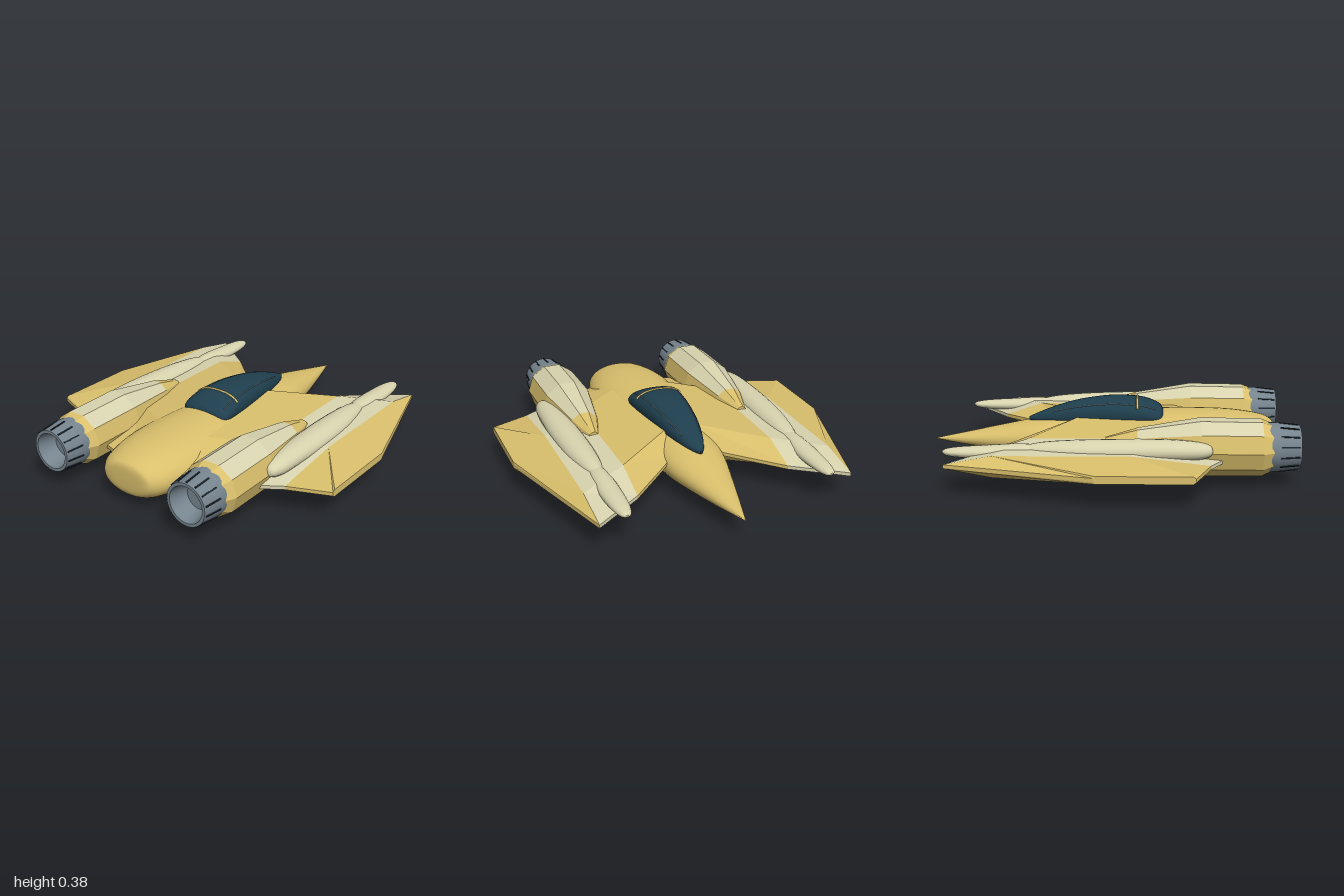
import * as THREE from 'three';
import { toCreasedNormals } from 'three/addons/utils/BufferGeometryUtils.js';

const mat = (name, color) => {
  const m = new THREE.MeshStandardMaterial({ color });
  m.name = name;
  return m;
};

// Skin a list of closed rings; pick(i, j) chooses a material index per quad
function loft(rings, crease, pick = () => 0) {
  const n = rings[0].length, pos = rings.flat(2), faces = [[], []];
  for (let i = 0; i < rings.length - 1; i++) {
    for (let j = 0; j < n; j++) {
      const a = i * n + j, b = i * n + (j + 1) % n;
      faces[pick(i, j)].push(a, b, b + n, a, b + n, a + n);
    }
  }
  const last = (rings.length - 1) * n;
  for (let j = 1; j < n - 1; j++) faces[0].push(0, j + 1, j, last, last + j, last + j + 1);
  const g = new THREE.BufferGeometry();
  g.setAttribute('position', new THREE.Float32BufferAttribute(pos, 3));
  g.setIndex(faces.flat());
  const out = toCreasedNormals(g, crease);
  if (faces[1].length) {
    out.addGroup(0, faces[0].length, 0);
    out.addGroup(faces[0].length, faces[1].length, 1);
  }
  return out;
}

// Point on a rounded section given as [z, halfWidth, top, bottom, centreX]
function onSection([z, w, top, bot, cx = 0], angle, power = 2) {
  const f = (v) => Math.sign(v) * Math.abs(v) ** (2 / power);
  return [cx + w * f(Math.cos(angle)), (top + bot) / 2 + (top - bot) / 2 * f(Math.sin(angle)), z];
}
const ring = (s, n, power) =>
  Array.from({ length: n }, (_, j) => onSection(s, j / n * Math.PI * 2, power));

// Resample stations along smooth curves
function refine(stations, count) {
  const curves = stations[0].map((_, k) =>
    new THREE.SplineCurve(stations.map((s) => new THREE.Vector2(s[k], 0))));
  return Array.from({ length: count + 1 }, (_, i) => curves.map((c) => c.getPoint(i / count).x));
}

const FUSELAGE = [
  [-1, 0.003, 0.125, 0.118], [-0.8, 0.062, 0.165, 0.085], [-0.6, 0.118, 0.205, 0.058],
  [-0.4, 0.168, 0.243, 0.037], [-0.2, 0.187, 0.268, 0.02], [0, 0.208, 0.285, 0.008],
  [0.3, 0.242, 0.298, 0], [0.52, 0.255, 0.298, 0.003], [0.7, 0.24, 0.29, 0.014],
  [0.84, 0.205, 0.27, 0.03], [0.9, 0.17, 0.25, 0.05], [0.925, 0.13, 0.225, 0.08],
  [0.93, 0.02, 0.16, 0.14],
];
const CANOPY = [
  [-0.465, 0.006, 0.252, 0.235], [-0.42, 0.034, 0.272, 0.22], [-0.33, 0.068, 0.307, 0.21],
  [-0.2, 0.1, 0.346, 0.2], [-0.05, 0.123, 0.37, 0.2], [0.06, 0.137, 0.375, 0.2],
  [0.18, 0.149, 0.364, 0.21], [0.255, 0.148, 0.338, 0.22], [0.29, 0.125, 0.315, 0.23],
  [0.303, 0.07, 0.29, 0.24],
];
// [x, leading z, trailing z, top, bottom, front ridge, rear ridge]
const WING = [
  [0.1, -0.32, 0.8, 0.27, 0.065, 0.12, 0.75], [0.43, -0.64, 0.69, 0.235, 0.072, 0.16, 0.72],
  [0.7, -0.84, 0.52, 0.212, 0.098, 0.18, 0.7], [0.925, -0.07, 0.43, 0.175, 0.135, 0.02, 0.97],
];
const NACELLE = [
  [-0.02, 0.03, 0.25, 0.19], [0.15, 0.09, 0.3, 0.11], [0.48, 0.155, 0.355, 0.045],
  [0.8, 0.155, 0.35, 0.045], [0.865, 0.128, 0.325, 0.075],
];
const POD_FRONT = [
  [-0.865, 0.008, 0.203, 0.193], [-0.84, 0.03, 0.214, 0.178], [-0.76, 0.048, 0.224, 0.168],
  [-0.62, 0.058, 0.232, 0.162], [-0.48, 0.055, 0.24, 0.16], [-0.36, 0.04, 0.235, 0.17],
  [-0.3, 0.02, 0.22, 0.19],
];
const POD_REAR = [
  [-0.46, 0.02, 0.225, 0.18, 0.568], [-0.35, 0.054, 0.25, 0.165, 0.57],
  [-0.15, 0.078, 0.265, 0.155, 0.58], [0.1, 0.083, 0.272, 0.155, 0.588],
  [0.3, 0.075, 0.272, 0.16, 0.592], [0.45, 0.06, 0.262, 0.167, 0.597],
  [0.52, 0.035, 0.245, 0.185, 0.6], [0.535, 0.008, 0.22, 0.205, 0.6],
];
const NOZZLE = [[0.1, 0.8], [0.131, 0.83], [0.131, 0.88], [0.117, 1], [0.1, 1], [0.088, 0.95],
  [0.07, 0.9], [0, 0.9]];

export function createModel() {
  const gold = mat('gold paint', 0xd9bf6c);
  const cream = mat('cream paint', 0xd8d3ae);
  const metal = mat('grey metal', 0x76848e);
  const glass = mat('dark glass', 0x1f3f4e);
  const dark = mat('slot dark', 0x1b2830);
  const ship = new THREE.Group();
  ship.name = 'starfighter';
  const add = (parent, name, geometry, material) => {
    const m = new THREE.Mesh(geometry, material);
    m.name = name;
    parent.add(m);
    return m;
  };

  // Body and cockpit
  add(ship, 'fuselage', loft(refine(FUSELAGE, 60).map((s) => ring(s, 40, 2.1)), 0.9), gold);
  const canopy = refine(CANOPY, 36);
  add(ship, 'canopy', loft(canopy.map((s) => ring(s, 32, 2.3)), 0.7), glass);

  // Canopy hoop and side rails
  const tube = (pts, r) => new THREE.TubeGeometry(
    new THREE.CatmullRomCurve3(pts.map((p) => new THREE.Vector3(...p))), 40, r, 6);
  const hoop = canopy.find((s) => s[0] >= 0.15);
  add(ship, 'canopyHoop', tube(Array.from({ length: 17 }, (_, i) =>
    onSection(hoop, 0.45 + i / 16 * (Math.PI - 0.9), 2.3)), 0.007), gold);
  for (const side of [1, -1]) {
    const rail = canopy.filter((s) => s[0] > -0.35 && s[0] < 0.26)
      .map((s) => onSection(s, Math.PI / 2 - side * 0.85, 2.3));
    add(ship, 'canopyRail', tube(rail, 0.003), metal);
  }

  for (const side of [1, -1]) {
    // Wing in three spanwise panels
    const wing = new THREE.Group();
    wing.name = side > 0 ? 'leftWing' : 'rightWing';
    ship.add(wing);
    const sections = WING.map(([x, z0, z1, top, bot, f, r]) => {
      const mid = (top + bot) / 2, zf = z0 + (z1 - z0) * f, zr = z0 + (z1 - z0) * r;
      const edge = Math.min(0.02, (top - bot) / 2);
      const y0 = mid - edge / 2, y1 = mid + edge / 2;
      return [[z0, y0], [z0, y1], [zf, top], [zr, top], [z1, y1], [z1, y0], [zr, bot], [zf, bot]]
        .map(([z, y]) => [side * x, y, z]);
    });
    ['innerPanel', 'wingBand', 'outerPanel'].forEach((name, i) => {
      const pair = [sections[i], sections[i + 1]];
      if (side < 0) pair.reverse();
      add(wing, name, loft(pair, 0.05), i === 1 ? cream : gold);
    });

    // Long pod lying on the wing
    const pod = new THREE.Group();
    pod.name = 'wingPod';
    ship.add(pod);
    add(pod, 'podBarrel', loft(refine(POD_FRONT, 24)
      .map((s) => ring([...s, side * 0.565], 20)), 0.9), cream);
    add(pod, 'podBody', loft(refine(POD_REAR, 28)
      .map((s) => ring([...s.slice(0, 4), side * s[4]], 20)), 0.9), cream);

    // Faceted engine housing with cream upper facets
    const engine = new THREE.Group();
    engine.name = 'engine';
    engine.position.x = side * 0.455;
    ship.add(engine);
    add(engine, 'nacelle', loft(NACELLE.map((s) => ring(s, 10)), 0.05,
      (i, j) => (i > 0 && i < 3 && j > 0 && j < 4 ? 1 : 0)), [gold, cream]);

    // Hollow nozzle with slots around it
    const lathe = new THREE.LatheGeometry(NOZZLE.map((p) => new THREE.Vector2(...p)), 32);
    const nozzle = add(engine, 'nozzle', toCreasedNormals(lathe.rotateX(Math.PI / 2), 0.5), metal);
    nozzle.position.y = 0.2;
    for (let k = 0; k < 14; k++) {
      const slot = new THREE.BoxGeometry(0.008, 0.008, 0.1);
      slot.rotateX(0.108).translate(0, 0.124, 0.94).rotateZ(k / 14 * Math.PI * 2);
      add(nozzle, 'nozzleSlot', slot, dark);
    }
  }
  return ship;
}
